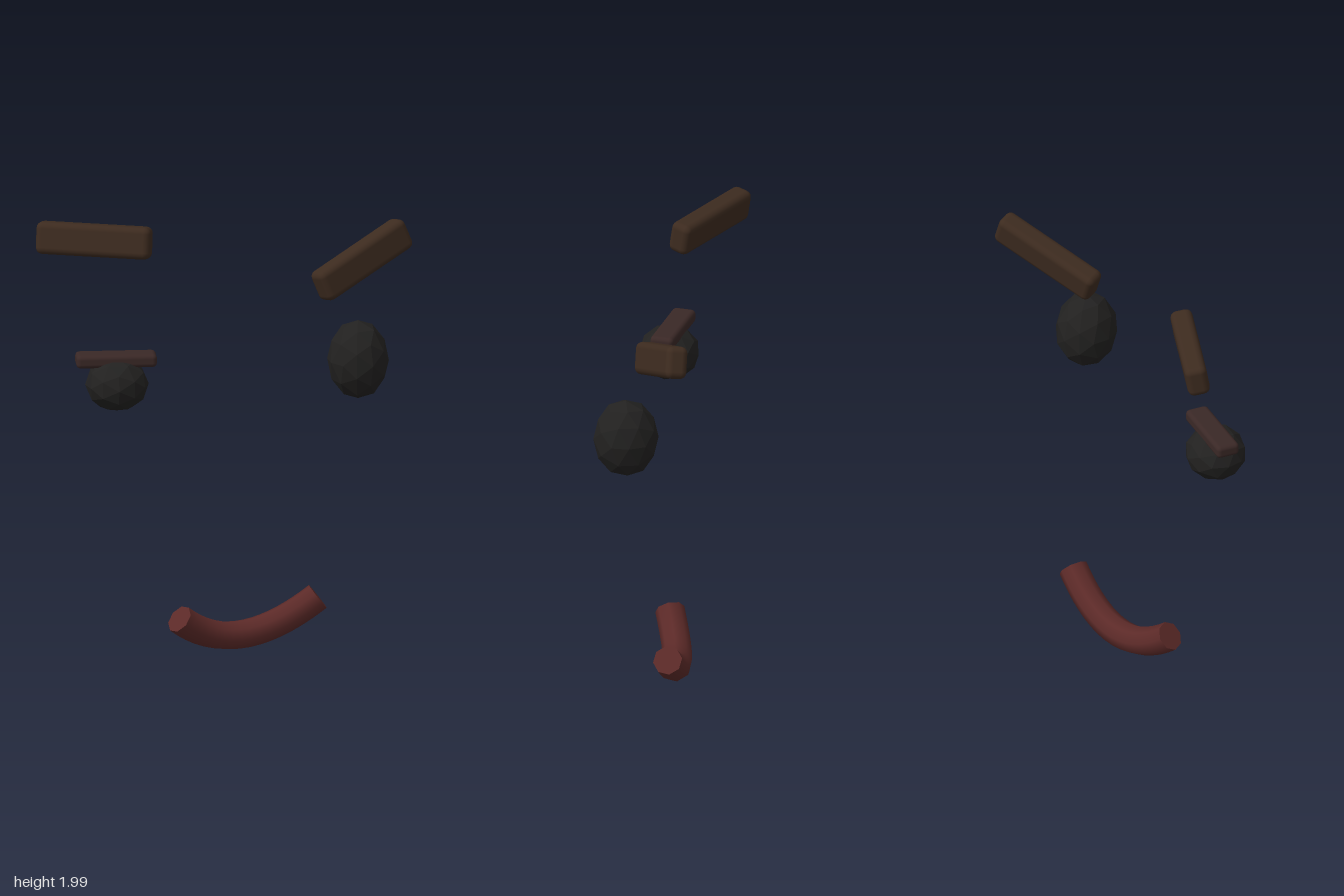
import * as THREE from 'three';
import { RoundedBoxGeometry } from 'three/addons/geometries/RoundedBoxGeometry.js';

const material = (color, flatShading = false) => new THREE.MeshStandardMaterial({ color, flatShading });

export function createModel() {
  const model = new THREE.Group();
  const browMat = material(0x3d2b1f);
  const lidMat = material(0x3a2826);
  const eyeMat = material(0x222120, true);
  const mouthMat = material(0x5c2a28);

  const add = (name, geometry, mat, position, rotation = [0, 0, 0], parent = model) => {
    const mesh = new THREE.Mesh(geometry, mat);
    mesh.name = name;
    mesh.position.set(...position);
    mesh.rotation.set(...rotation, 'YZX');
    parent.add(mesh);
    return mesh;
  };

  // Eyebrows: soft-edged bars leaning back, swept towards the sides of the head
  const brow = new RoundedBoxGeometry(0.52, 0.145, 0.1, 2, 0.03);
  add('rightEyebrow', brow, browMat, [-0.607, 1.92, -0.095], [-0.17, -0.44, 0]);
  add('leftEyebrow', brow, browMat, [0.607, 1.762, -0.06], [-0.17, 0.46, 0.35]);

  // Eyes: faceted balls, the left one opened taller
  const ball = new THREE.IcosahedronGeometry(1, 1);
  add('rightEye', ball, eyeMat, [-0.545, 1.3, 0.08], [0, -0.15, 0]).scale.set(0.142, 0.122, 0.137);
  add('leftEye', ball, eyeMat, [0.55, 1.352, 0.107], [0, 0.25, 0]).scale.set(0.135, 0.18, 0.146);

  // Flat lid resting on the right eye
  add('rightEyelid', new RoundedBoxGeometry(0.36, 0.06, 0.108, 2, 0.02), lidMat, [-0.545, 1.41, 0.063], [0, -0.15, 0]);

  // Mouth: crooked smile swept along a curve, closed with flat ends
  const mouth = new THREE.Group();
  mouth.name = 'mouth';
  model.add(mouth);
  const radius = 0.066, sides = 8, steps = 16;
  const curve = new THREE.QuadraticBezierCurve3(
    new THREE.Vector3(-0.248, 0.182, 0.032),
    new THREE.Vector3(0.035, -0.06, -0.085),
    new THREE.Vector3(0.405, 0.22, -0.058));
  add('lips', new THREE.TubeGeometry(curve, steps, radius, sides), mouthMat, [0, 0, 0], [0, 0, 0], mouth);
  const { tangents, normals, binormals } = curve.computeFrenetFrames(steps);
  const cap = new THREE.CircleGeometry(radius, sides);
  for (const end of [0, 1]) {
    const i = end * steps;
    const basis = end
      ? new THREE.Matrix4().makeBasis(normals[i], binormals[i], tangents[i])
      : new THREE.Matrix4().makeBasis(binormals[i], normals[i], tangents[i].clone().negate());
    const mesh = add(end ? 'leftMouthCorner' : 'rightMouthCorner', cap, mouthMat,
      curve.getPoint(end).toArray(), [0, 0, 0], mouth);
    mesh.quaternion.setFromRotationMatrix(basis);
  }
  return model;
}
